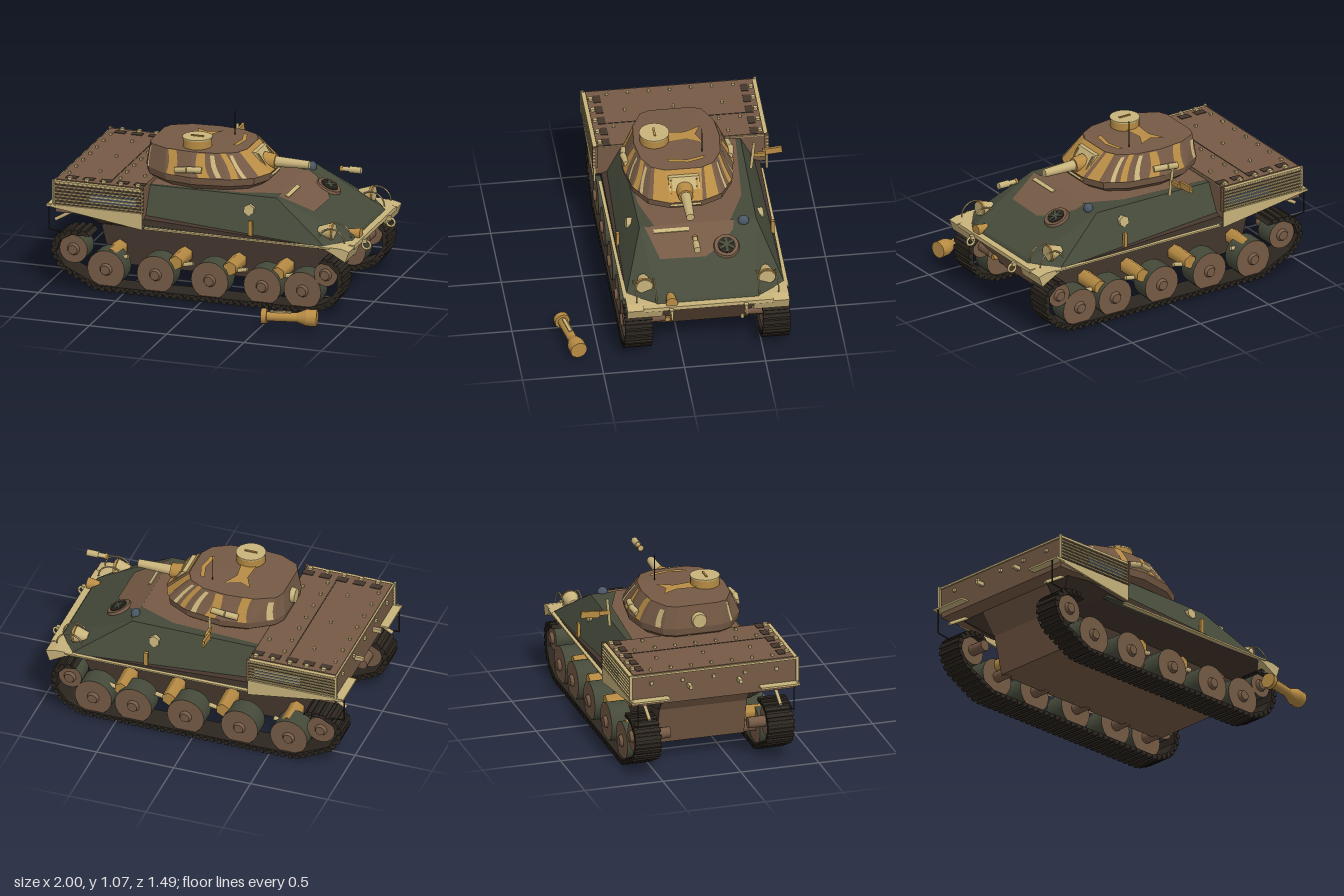
import * as THREE from 'three';
import { mergeGeometries } from 'three/addons/utils/BufferGeometryUtils.js';
import { ConvexGeometry } from 'three/addons/geometries/ConvexGeometry.js';

const mat = (name, color) => Object.assign(new THREE.MeshStandardMaterial({ color }), { name });
const V = (x, y, z) => new THREE.Vector3(x, y, z);

export function createModel() {
  const brown = mat('earthBrown', 0x755a45), green = mat('darkGreen', 0x454a3a), tan = mat('sand', 0xc8b37b),
    gold = mat('ochre', 0xb88c44), belly = mat('bellyBrown', 0x44362d), black = mat('trackBlack', 0x2c261f),
    blue = mat('slateBlue', 0x4a5766);
  const model = new THREE.Group(), tank = new THREE.Group();
  model.name = 'armouredVehicle';
  tank.name = 'tank';
  tank.position.z = -0.155;
  model.add(tank);

  const add = (name, geo, m, x = 0, y = 0, z = 0, parent = tank) => {
    const mesh = new THREE.Mesh(geo, m);
    mesh.name = name;
    mesh.position.set(x, y, z);
    parent.add(mesh);
    return mesh;
  };
  const box = (name, m, w, h, d, x, y, z) => add(name, new THREE.BoxGeometry(w, h, d), m, x, y, z);
  // cylinder between two points; r0 at the start, r1 at the end
  const rod = (name, m, a, b, r0, r1 = r0, sides = 12, parent = tank) => {
    const dir = b.clone().sub(a), mid = a.clone().add(b).multiplyScalar(0.5);
    const mesh = add(name, new THREE.CylinderGeometry(r1, r0, dir.length(), sides), m, mid.x, mid.y, mid.z, parent);
    mesh.quaternion.setFromUnitVectors(V(0, 1, 0), dir.normalize());
    return mesh;
  };
  const shape = (pts) => new THREE.Shape(pts.map(p => new THREE.Vector2(p[0], p[1])));
  const extrude = (s, depth) => new THREE.ExtrudeGeometry(s, { depth, bevelEnabled: false }).translate(0, 0, -depth / 2);
  // hull with mirrored corner points
  const convex = (pts) => new ConvexGeometry(pts.flatMap(([x, y, z]) => [V(x, y, z), V(x, y, -z)]));
  // upward-facing painted plate from [x, z] points, with a height rule
  const plate = (name, m, pts, height) => {
    const g = new THREE.ShapeGeometry(shape(pts.map(([x, z]) => [x, -z]))).rotateX(-Math.PI / 2);
    const p = g.attributes.position;
    for (let i = 0; i < p.count; i++) p.setY(i, height(p.getX(i)));
    g.computeVertexNormals();
    return add(name, g, m);
  };

  // hull: dark side walls, brown floor and bow
  add('lowerHull', extrude(shape([[-0.66, 0.12], [0.68, 0.12], [0.94, 0.42], [0.7, 0.5], [-0.82, 0.5], [-0.72, 0.36]]), 0.56), [belly, brown]);
  add('sponsons', convex([[-0.83, 0.52, 0.49], [-0.4, 0.455, 0.49], [0.86, 0.435, 0.49], [-0.72, 0.37, 0.3], [0.8, 0.36, 0.3], [-0.4, 0.53, 0.4]]), belly);
  add('upperHull', convex([[-0.5, 0.44, 0.49], [0.8, 0.437, 0.49], [0.92, 0.43, 0.32], [0.9, 0.46, 0.3], [-0.5, 0.68, 0.37], [0.44, 0.68, 0.36]]), green);
  plate('deckPaint', brown, [[-0.4, -0.34], [0.2, -0.3], [0.44, -0.2], [0.44, 0.27], [0.2, 0.34], [-0.4, 0.36]], () => 0.684);
  const glacis = x => 0.685 - (x - 0.44) * 0.478;
  plate('glacisPaint', brown, [[0.44, -0.22], [0.5, -0.21], [0.62, -0.08], [0.655, -0.02], [0.65, 0.26], [0.44, 0.33]], glacis);
  box('glacisBar', tan, 0.025, 0.01, 0.22, 0.478, 0.668, 0.17).rotation.z = -0.44;

  // driver hatch and periscope
  const hatch = new THREE.Group();
  hatch.name = 'driverHatch';
  hatch.position.set(0.6, glacis(0.6), -0.155);
  hatch.rotation.z = -0.446;
  tank.add(hatch);
  add('hatchRing', new THREE.CylinderGeometry(0.075, 0.085, 0.024, 20), brown, 0, 0, 0, hatch);
  add('hatchWell', new THREE.CylinderGeometry(0.055, 0.055, 0.008, 20), black, 0, 0.012, 0, hatch);
  for (let i = 0; i < 3; i++) {
    const spoke = add('hatchSpoke', new THREE.BoxGeometry(0.1, 0.012, 0.016), green, 0, 0.016, 0, hatch);
    spoke.rotation.y = i * Math.PI / 3;
  }
  add('periscope', new THREE.SphereGeometry(0.035, 14, 8).scale(0.8, 1, 1), blue, 0.45, 0.68, -0.28);

  // engine compartment
  box('engineBox', brown, 0.56, 0.2, 1.05, -0.655, 0.595, 0);
  box('engineTopRim', tan, 0.57, 0.012, 1.08, -0.66, 0.692, 0);
  box('engineTop', brown, 0.555, 0.012, 1.03, -0.657, 0.698, 0);
  box('engineSeam', belly, 0.006, 0.005, 0.96, -0.6, 0.704, 0);
  for (const x of [-0.89, -0.56]) for (let i = 0; i < 7; i++)
    box('rivet', tan, 0.016, 0.02, 0.016, x, 0.708, -0.39 + i * 0.13);
  for (const x of [-0.72, -0.43]) for (const z of [-0.3, 0, 0.3]) box('rivet', tan, 0.016, 0.02, 0.016, x, 0.708, z);
  for (let i = 0; i < 5; i++) box('rearRivet', tan, 0.02, 0.02, 0.02, -0.94, 0.64, -0.4 + i * 0.2);

  // turret: half plans at rising heights, mirrored into closed rings
  const cz = 0.057;
  const waist = [[0.33, 0.1], [0.27, 0.23], [0.13, 0.31], [-0.1, 0.345], [-0.28, 0.315], [-0.42, 0.22], [-0.455, 0.15]];
  const crown = [[0.18, 0.11], [0.14, 0.19], [0.04, 0.245], [-0.12, 0.265], [-0.29, 0.25], [-0.41, 0.19], [-0.435, 0.13]];
  const ring = (y, half, k = 1) => [...half, ...half.map(([x, z]) => [x, -z]).reverse()]
    .map(([x, z]) => V(-0.07 + (x + 0.07) * k, y, cz + z * k));
  const rings = [ring(0.675, waist, 0.82), ring(0.72, waist, 0.98), ring(0.765, waist), ring(0.905, crown), ring(0.908, crown, 0)];
  const N = rings[0].length;
  const faces = (quads) => {
    const g = new THREE.BufferGeometry().setFromPoints(quads.flatMap(([a, b, c, d]) => [a, b, c, c, b, d]));
    g.computeVertexNormals();
    return g;
  };
  const shell = [];
  for (let j = 0; j < 4; j++) for (let i = 0; i < N; i++) {
    const n = (i + 1) % N;
    shell.push([rings[j][i], rings[j + 1][i], rings[j][n], rings[j + 1][n]]);
  }
  add('turret', faces(shell), brown);
  // camouflage bands on the turret wall: position round the ring, width, lean, lowest and highest fraction
  const onRing = (r, u) => {
    const i = Math.floor(u);
    const p = r[i % N].clone().lerp(r[(i + 1) % N], u - i);
    return p.add(V(p.x + 0.07, 0, p.z - cz).setLength(0.005)).add(V(0, 0.003, 0));
  };
  const wall = (u, t) => onRing(rings[2], u).lerp(onRing(rings[3], u), t);
  const band = ([m, u0, w, lean, t0, t1]) => {
    const quads = [], n = 4, stops = [0, w];
    for (let c = Math.ceil(u0); c < u0 + w; c++) if (c > u0) stops.splice(-1, 0, c - u0);
    const at = (s, j) => wall(u0 + s + lean * Math.sin(j / n * Math.PI), t0 + (t1 - t0) * j / n);
    for (let i = 0; i + 1 < stops.length; i++) for (let j = 0; j < n; j++)
      quads.push([at(stops[i], j), at(stops[i], j + 1), at(stops[i + 1], j), at(stops[i + 1], j + 1)]);
    add('camouflageBand', faces(quads), m);
  };
  [[gold, 0, 0.75, 0, 0, 1], [tan, 1.3, 0.17, 0.05, 0, 0.9], [gold, 1.62, 0.28, -0.06, 0, 1], [tan, 2.18, 0.15, 0.05, 0.05, 0.9],
    [gold, 2.5, 0.3, 0.07, 0, 0.95], [gold, 3.6, 0.32, -0.07, 0, 1], [tan, 4.9, 0.25, 0.05, 0, 0.9],
    [tan, 8.1, 0.25, 0.05, 0, 0.8], [gold, 9.1, 0.32, 0.07, 0, 1], [gold, 10.15, 0.3, -0.07, 0, 0.95], [tan, 10.7, 0.15, 0.05, 0, 0.9],
    [gold, 11.1, 0.25, 0.06, 0, 1], [tan, 11.55, 0.17, 0.05, 0, 0.9], [gold, 12.2, 0.6, 0, 0, 1], [gold, 13, 1, 0, 0, 1]].forEach(band);
  const roof = () => 0.914;
  plate('roofPaint', gold, [[-0.23, -0.1], [-0.15, -0.06], [-0.06, -0.1], [-0.11, 0.0], [-0.09, 0.14], [-0.19, 0.14], [-0.18, 0.0]], roof);
  plate('roofPaint', gold, [[0.07, -0.09], [0.1, -0.08], [0.13, 0.02], [0.11, 0.14], [0.08, 0.14], [0.1, 0.02]], roof);
  for (const s of [-1, 1]) {
    rod('turretHandrail', tan, V(-0.21, 0.795, cz + s * 0.318), V(-0.13, 0.81, cz + s * 0.332), 0.02, 0.02, 8);
    rod('turretHandrail', tan, V(-0.13, 0.81, cz + s * 0.332), V(-0.04, 0.81, cz + s * 0.318), 0.02, 0.02, 8);
  }
  rod('rearTurretCover', tan, V(-0.475, 0.81, cz), V(-0.44, 0.81, cz), 0.045, 0.05);
  // cupola and aerial
  add('cupola', new THREE.CylinderGeometry(0.09, 0.09, 0.055, 18), gold, -0.13, 0.932, 0.195);
  add('cupolaLid', new THREE.CylinderGeometry(0.093, 0.093, 0.009, 18), tan, -0.13, 0.962, 0.195);
  box('lidHandle', gold, 0.08, 0.008, 0.012, -0.13, 0.969, 0.195);
  rod('aerial', black, V(0.02, 0.9, -0.08), V(0.02, 1.08, -0.08), 0.003, 0.002, 6);

  // gun with sloping mantlet
  const gz = 0.06;
  add('mantlet', extrude(shape([[0.15, 0.885], [0.235, 0.885], [0.335, 0.74], [0.15, 0.73]]), 0.19), tan, 0, 0, gz);
  for (const s of [-1, 1]) add('mantletCheek', extrude(shape([[0.2, 0.875], [0.25, 0.875], [0.338, 0.745], [0.25, 0.74]]), 0.01), gold, 0, 0, gz + s * 0.08);
  rod('gunCollar', gold, V(0.26, 0.81, gz), V(0.335, 0.81, gz), 0.055, 0.045, 18);
  rod('barrel', tan, V(0.3, 0.81, gz), V(0.55, 0.81, gz), 0.034, 0.025, 16);
  rod('muzzle', tan, V(0.75, 0.81, gz), V(0.83, 0.81, gz), 0.015);
  rod('muzzleBrake', tan, V(0.81, 0.81, gz), V(0.885, 0.81, gz), 0.021);
  rod('muzzleTail', gold, V(0.75, 0.81, gz), V(0.765, 0.81, gz), 0.019);

  // side tool on the right of the hull
  rod('toolPost', tan, V(-0.07, 0.68, -0.395), V(-0.08, 0.86, -0.415), 0.01, 0.01, 8);
  box('toolGrip', gold, 0.015, 0.028, 0.09, -0.08, 0.772, -0.44);
  box('toolBlade', gold, 0.015, 0.042, 0.12, -0.1, 0.78, -0.53).rotation.x = 0.08;

  // track: band and cleats round the ends and along the ground
  const run = [[0.78, 0.36], [0.85, 0.35], [0.905, 0.29], [0.905, 0.18], [0.84, 0.08], [0.72, 0.025], [-0.68, 0.02], [-0.91, 0.14], [-0.965, 0.24], [-0.94, 0.32], [-0.86, 0.37], [-0.74, 0.37]];
  const inner = run.map(([x, y]) => [x * 0.972, 0.195 + (y - 0.195) * 0.88]).reverse();
  const trackParts = [extrude(shape([...run, ...inner]), 0.16)];
  const count = 56, path = shape(run).getSpacedPoints(count);
  for (let i = 0; i < count; i++) {
    const a = path[i], b = path[i + 1], d = b.clone().sub(a);
    const link = new THREE.BoxGeometry(d.length() * 0.6, 0.026, 0.17).toNonIndexed();
    trackParts.push(link.rotateZ(Math.atan2(d.y, d.x)).translate((a.x + b.x) / 2, (a.y + b.y) / 2, 0));
  }
  const trackGeo = mergeGeometries(trackParts);

  for (const s of [-1, 1]) {
    // running gear
    add('track', trackGeo, black, 0, 0, s * 0.425);
    const wheel = (name, x, y, r) => {
      rod(name, [green, brown, brown], V(x, y, s * 0.36), V(x, y, s * 0.49), r, r, 20);
      rod(name + 'Hub', brown, V(x, y, s * 0.48), V(x, y, s * 0.51), 0.045, 0.03, 10);
      rod(name + 'Axle', brown, V(x, y, s * 0.25), V(x, y, s * 0.4), 0.035);
    };
    for (const x of [-0.62, -0.3, 0.05, 0.39, 0.65]) wheel('roadWheel', x, 0.145, 0.12);
    wheel('idler', 0.8, 0.265, 0.075);
    wheel('sprocket', -0.83, 0.255, 0.09);
    for (const x of [-0.6, -0.18, 0.17, 0.48]) {
      rod('suspensionBracket', gold, V(x, 0.225, s * 0.27), V(x, 0.225, s * 0.46), 0.052, 0.045, 6);
      rod('suspensionArm', tan, V(x - 0.13, 0.17, s * 0.42), V(x + 0.1, 0.22, s * 0.42), 0.014, 0.014, 6);
    }
    // fenders
    add('rearSkirt', extrude(shape([[-0.98, 0.545], [-0.37, 0.545], [-0.37, 0.44], [-0.98, 0.53]]), 0.012), tan, 0, 0, s * 0.532);
    box('sideStrip', tan, 1.2, 0.01, 0.03, 0.23, 0.441, s * 0.495);
    add('frontFender', extrude(shape([[0.76, 0.447], [0.9, 0.445], [0.955, 0.43], [0.93, 0.36], [0.84, 0.41]]), 0.22), tan, 0, 0, s * 0.39);
    box('rearMudguard', tan, 0.07, 0.012, 0.25, -0.955, 0.535, s * 0.415);
    rod('mudguardStrut', tan, V(-0.97, 0.41, s * 0.42), V(-0.8, 0.51, s * 0.42), 0.012, 0.012, 6);
    rod('mudguardRail', black, V(-0.985, 0.37, s * 0.5), V(-0.985, 0.53, s * 0.5), 0.004, 0.004, 6);
    rod('mudguardRail', black, V(-0.985, 0.37, s * 0.5), V(-0.9, 0.36, s * 0.5), 0.004, 0.004, 6);
    // side louvres
    box('grillePanel', belly, 0.56, 0.14, 0.008, -0.655, 0.62, s * 0.528);
    box('grilleGlass', blue, 0.3, 0.06, 0.008, -0.56, 0.605, s * 0.531);
    for (let i = 0; i < 7; i++) box('louvre', tan, 0.58, 0.008, 0.016, -0.66, 0.56 + i * 0.021, s * 0.534);
    box('grilleEnd', tan, 0.012, 0.16, 0.02, -0.945, 0.625, s * 0.534);
    box('grilleEnd', brown, 0.012, 0.16, 0.03, -0.372, 0.625, s * 0.53);
    for (let i = 0; i < 6; i++) box('endRivet', tan, 0.008, 0.012, 0.012, -0.365, 0.56 + i * 0.025, s * 0.535);
    for (let i = 0; i < 5; i++) {
      box('topVent', belly, 0.07, 0.006, 0.045, -0.85 + i * 0.11, 0.705, s * 0.455);
      box('topClip', tan, 0.025, 0.02, 0.025, -0.85 + i * 0.11, 0.71, s * 0.495);
    }
    // headlights with guards
    const hz = s * 0.378;
    rod('headlight', tan, V(0.72, 0.505, hz), V(0.8, 0.51, hz), 0.03, 0.052, 18);
    rod('headlightRim', gold, V(0.8, 0.51, hz), V(0.812, 0.51, hz), 0.056, 0.054, 18);
    rod('headlightLens', tan, V(0.812, 0.51, hz), V(0.818, 0.51, hz), 0.049, 0.049, 18);
    rod('headlightStalk', gold, V(0.77, 0.43, hz), V(0.77, 0.5, hz), 0.018, 0.018, 8);
    for (const o of [-0.06, 0.06]) add('headlightGuard', new THREE.TorusGeometry(0.085, 0.005, 6, 16, Math.PI), tan, 0.82, 0.46, hz + o);
    // side fittings
    box('sideLatch', gold, 0.025, 0.11, 0.02, 0.31, 0.5, s * 0.478);
    rod('sideCap', tan, V(0.28, 0.6, s * 0.39), V(0.28, 0.605, s * 0.425), 0.036, 0.036, 6);
    // tow hooks
    add('towRing', new THREE.TorusGeometry(0.026, 0.008, 6, 14), tan, 0.975, 0.395, s * 0.23);
    box('towBracket', tan, 0.07, 0.025, 0.025, 0.945, 0.42, s * 0.23);
    box('rearHook', tan, 0.06, 0.025, 0.02, -0.96, 0.6, s * 0.16);
  }

  // nose
  box('noseStrip', tan, 0.05, 0.025, 0.8, 0.93, 0.43, 0);
  rod('noseLamp', gold, V(0.86, 0.46, 0.225), V(0.94, 0.46, 0.225), 0.025, 0.037, 14);
  rod('bowPlug', gold, V(0.78, 0.24, 0.235), V(0.81, 0.24, 0.235), 0.022, 0.018, 8);
  box('bowPlug', tan, 0.03, 0.03, 0.02, 0.73, 0.17, -0.235);

  // separate hand lamp lying beside the vehicle
  const lamp = new THREE.Group();
  lamp.name = 'handLamp';
  lamp.position.set(0.51, 0.085, 0.7);
  lamp.rotation.y = 0.2;
  model.add(lamp);
  const section = (name, m, x0, x1, r0, r1) => rod(name, m, V(x0, 0, 0), V(x1, 0, 0), r0, r1, 14, lamp);
  section('lampTail', gold, 0, 0.035, 0.048, 0.048);
  section('lampBody', gold, 0.035, 0.24, 0.03, 0.03);
  section('lampFlare', gold, 0.22, 0.28, 0.03, 0.053);
  section('lampHead', gold, 0.28, 0.345, 0.053, 0.053);
  add('lampSwitch', new THREE.BoxGeometry(0.13, 0.012, 0.02), tan, 0.12, 0.03, 0, lamp);
  return model;
}
